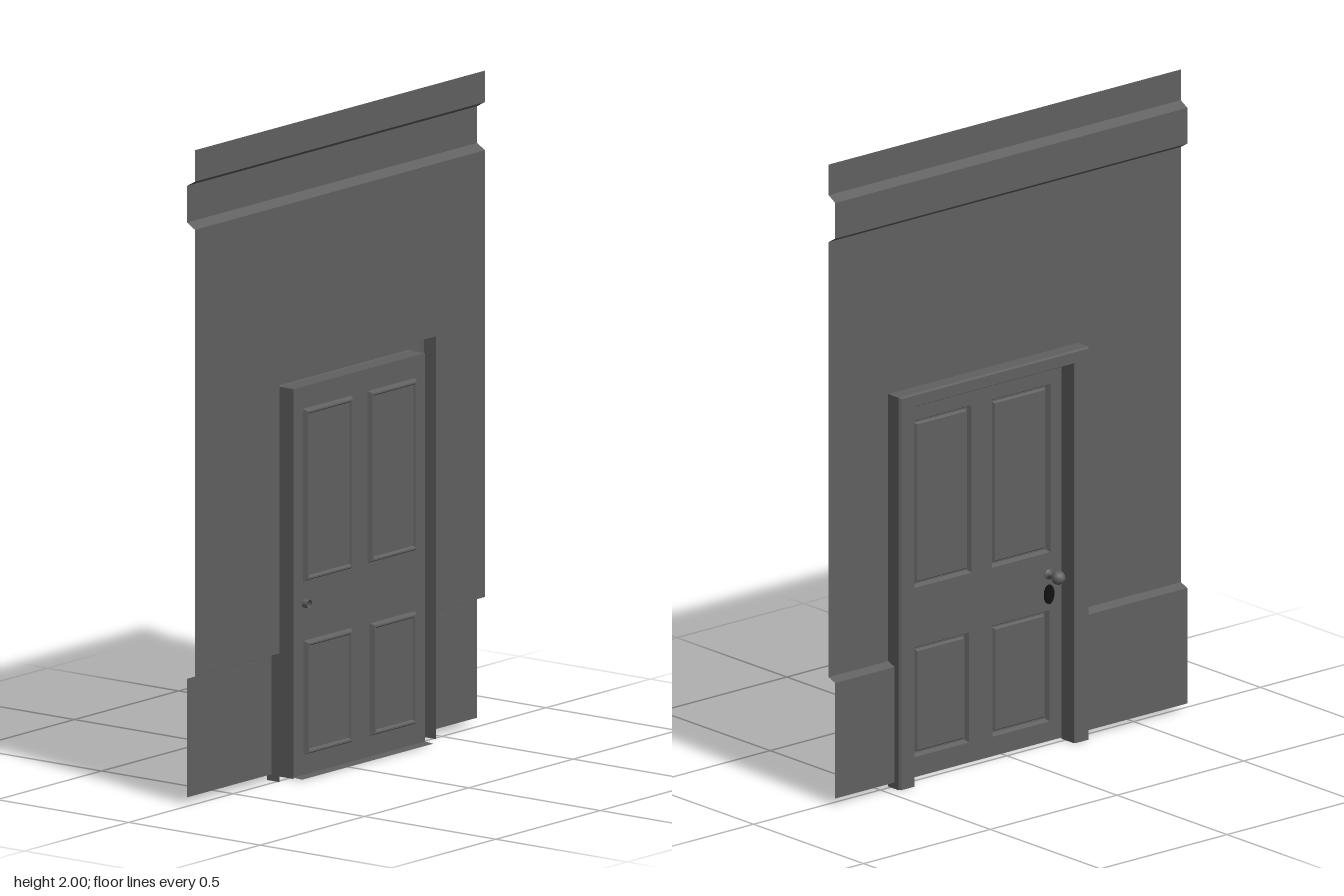
import * as THREE from 'three';

const paint = new THREE.MeshStandardMaterial({ color: 0x606060, side: THREE.DoubleSide });
const black = new THREE.MeshStandardMaterial({ color: 0x101010, side: THREE.DoubleSide });

const WALL_Z = 0.01, TRIM_Z = -0.02, DOOR_Z = 0.016;
const HALF = 0.695;
// outer casing edges (wall opening) and inner edges (door)
const OUT = { l: -0.29, r: 0.46, top: 1.23 };
const IN = { l: -0.23, r: 0.4, top: 1.19 };

function add(group, name, geometry, material = paint) {
  const mesh = new THREE.Mesh(geometry, material);
  mesh.name = name;
  group.add(mesh);
}

// crisp surface through rows of [x, y, z] points
function loft(rows) {
  const pos = [];
  for (let i = 0; i + 1 < rows.length; i++) {
    for (let j = 0; j + 1 < rows[i].length; j++) {
      const a = rows[i][j], b = rows[i][j + 1], c = rows[i + 1][j + 1], d = rows[i + 1][j];
      pos.push(...a, ...b, ...c, ...a, ...c, ...d);
    }
  }
  const g = new THREE.BufferGeometry();
  g.setAttribute('position', new THREE.Float32BufferAttribute(pos, 3));
  g.computeVertexNormals();
  return g;
}

// sheet extruded along x from a [y, z] profile listed top to bottom
const strip = (x0, x1, profile) =>
  loft(profile.map(([y, z]) => [[x0, y, z], [x1, y, z]]));

// rectangle loop in the xy plane
const loop = (x0, x1, y0, y1, z) =>
  [[x0, y0, z], [x1, y0, z], [x1, y1, z], [x0, y1, z], [x0, y0, z]];

function wall() {
  const g = new THREE.Group();
  g.name = 'wall';
  // top strip, frieze band and plain wall above the doorway
  add(g, 'upperWall', strip(-HALF, HALF, [
    [2, WALL_Z], [1.904, WALL_Z], [1.887, TRIM_Z], [1.775, TRIM_Z],
    [1.757, WALL_Z], [OUT.top, WALL_Z],
  ]));
  // wall with stepped wainscot on both sides of the doorway
  const side = [[OUT.top, WALL_Z], [0.393, WALL_Z], [0.382, TRIM_Z], [0.02, TRIM_Z]];
  add(g, 'leftWall', strip(OUT.r, HALF, side));
  add(g, 'rightWall', strip(-HALF, OUT.l, side));
  return g;
}

// casing and jamb: profile of [fraction from outer to inner edge, z] swept round the opening
function casing(group) {
  const profile = [
    [0, WALL_Z], [0, -0.036], [0.1, -0.043], [0.95, -0.043], [1, -0.04], [1, DOOR_Z],
  ];
  const mix = THREE.MathUtils.lerp;
  add(group, 'doorCasing', loft(profile.map(([t, z]) => {
    const l = mix(OUT.l, IN.l, t), r = mix(OUT.r, IN.r, t), top = mix(OUT.top, IN.top, t);
    return [[l, 0, z], [l, top, z], [r, top, z], [r, 0, z]];
  })));
}

function door() {
  const g = new THREE.Group();
  g.name = 'door';
  // x0, x1, y0, y1 of the four panels
  const panels = [
    [-0.185, 0.045, 0.595, 1.122], [0.125, 0.352, 0.597, 1.122],
    [-0.182, 0.043, 0.065, 0.413], [0.135, 0.35, 0.067, 0.411],
  ];
  // stiles and rails
  const shape = new THREE.Shape([
    [IN.l, 0.004], [IN.r, 0.004], [IN.r, IN.top], [IN.l, IN.top],
  ].map(([x, y]) => new THREE.Vector2(x, y)));
  for (const [a, b, c, d] of panels) {
    shape.holes.push(new THREE.Path([[a, c], [a, d], [b, d], [b, c]]
      .map(([x, y]) => new THREE.Vector2(x, y))));
  }
  add(g, 'doorFrame', new THREE.ShapeGeometry(shape).translate(0, 0, DOOR_Z));

  // moulded border and field of each panel
  const steps = [[0, DOOR_Z], [0.007, 0.03], [0.012, 0.03], [0.017, 0.022]];
  for (const [a, b, c, d] of panels) {
    add(g, 'panelMoulding', loft(steps.map(([s, z]) => loop(a + s, b - s, c + s, d - s, z))));
    const [s, z] = steps[3];
    add(g, 'panelField', new THREE.PlaneGeometry(b - a - 2 * s, d - c - 2 * s)
      .translate((a + b) / 2, (c + d) / 2, z));
  }
  return g;
}

function hardware() {
  const g = new THREE.Group();
  g.name = 'doorHardware';
  const x = -0.178, y = 0.527;
  // knob, stem and rose turned on one axis, pointing to the back
  const profile = [
    [0.016, 0], [0.016, 0.004], [0.007, 0.007], [0.007, 0.024], [0.015, 0.03],
    [0.021, 0.039], [0.021, 0.05], [0.015, 0.06], [0.008, 0.065], [0, 0.067],
  ].map(([r, h]) => new THREE.Vector2(r, h));
  add(g, 'knob', new THREE.LatheGeometry(profile, 16).rotateX(-Math.PI / 2).translate(x, y, DOOR_Z));
  // short open sleeve on the front
  add(g, 'spindleSleeve', new THREE.CylinderGeometry(0.013, 0.013, 0.02, 12, 1, true)
    .rotateX(Math.PI / 2).translate(x, y, DOOR_Z + 0.01));
  // oval keyhole plate below the knob
  add(g, 'keyholePlate', new THREE.CylinderGeometry(0.019, 0.019, 0.005, 16)
    .rotateX(Math.PI / 2).scale(1, 1.6, 1).translate(x, 0.465, DOOR_Z - 0.003), black);
  return g;
}

export function createModel() {
  const model = new THREE.Group();
  model.name = 'doorwayWall';
  model.add(wall(), door(), hardware());
  casing(model);
  // flat sill under the door
  add(model, 'threshold', loft([
    [[IN.l, 0.004, DOOR_Z], [IN.r, 0.004, DOOR_Z]],
    [[IN.l, 0.002, 0.048], [IN.r, 0.002, 0.048]],
  ]));
  return model;
}
